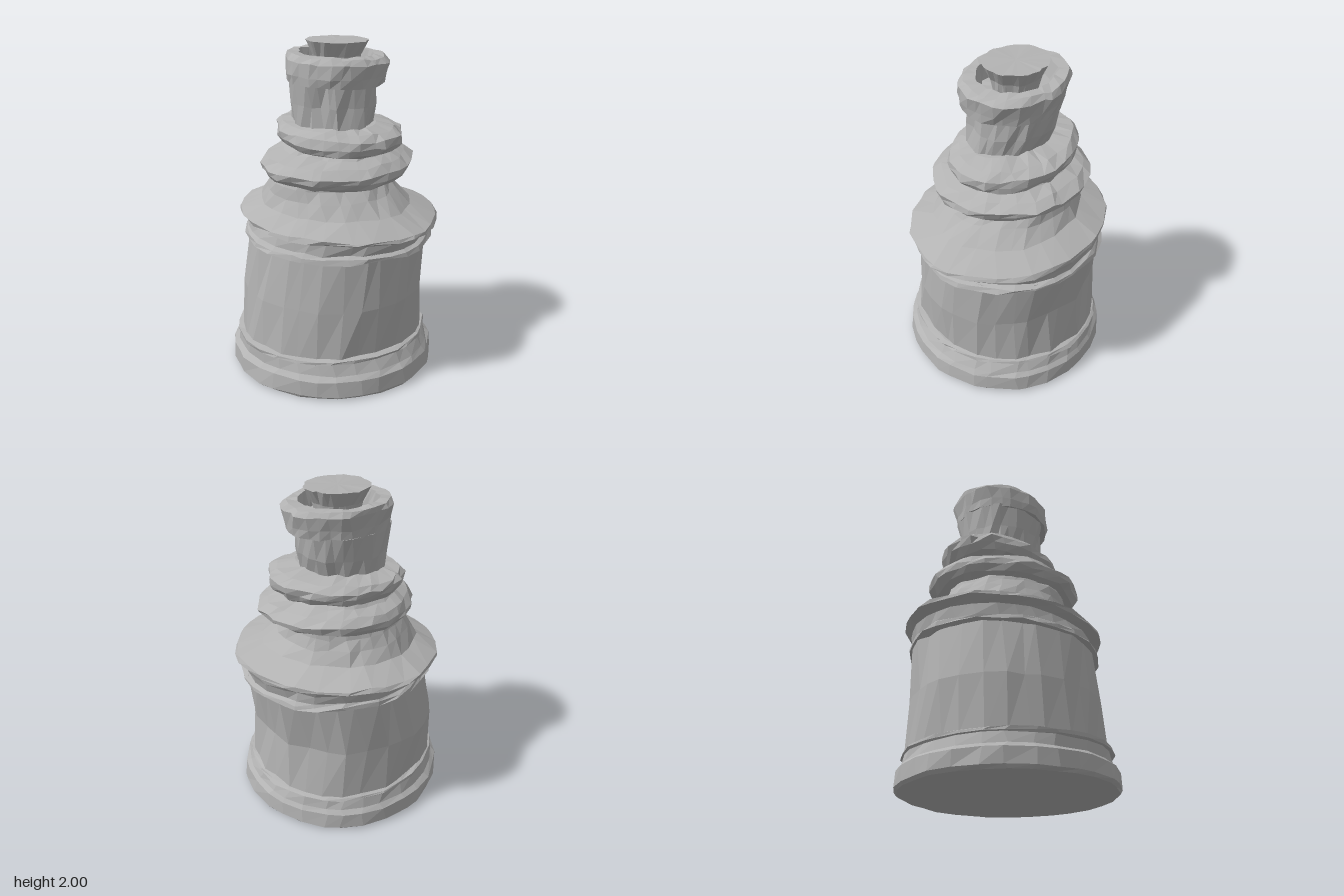
import * as THREE from 'three';

const SIDES = 30;

// Repeatable noise in -1..1
function makeNoise(seed) {
  let s = seed;
  return () => {
    s = (s * 16807) % 2147483647;
    return (s / 2147483647) * 2 - 1;
  };
}

// Skins a stack of rough rings, closed at both ends.
// Each ring: [y, xMin, xMax, zMin, zMax]; tiltX and tiltZ lean rings towards +x and -z.
function roughStack(rings, { tiltX = 0, tiltZ = 0, rough = 0.01, roughY = 0.006, seed = 7 }) {
  const noise = makeNoise(seed * 7919);
  const pos = [], index = [];
  for (let k = 0; k < 20; k++) noise();
  // chips shared by every ring keep the facets running up the part
  const chip = Array.from({ length: SIDES }, () => noise() * rough * 0.6);
  const shift = Array.from({ length: SIDES }, () => noise() * 0.05);
  for (const [y, x0, x1, z0, z1] of rings) {
    const cx = (x0 + x1) / 2, cz = (z0 + z1) / 2;
    for (let j = 0; j < SIDES; j++) {
      const a = (j / SIDES) * Math.PI * 2 + shift[j] + noise() * 0.03;
      const d = chip[j] + noise() * rough;
      const x = Math.cos(a) * ((x1 - x0) / 2 + d);
      const z = Math.sin(a) * ((z1 - z0) / 2 + d);
      pos.push(cx + x, Math.max(0, y + tiltX * x - tiltZ * z + noise() * roughY), cz + z);
    }
  }
  const centre = ([y, x0, x1, z0, z1]) => pos.push((x0 + x1) / 2, y, (z0 + z1) / 2);
  const last = (rings.length - 1) * SIDES, low = rings.length * SIDES;
  centre(rings[0]);
  centre(rings[rings.length - 1]);
  for (let j = 0; j < SIDES; j++) {
    const n = (j + 1) % SIDES;
    for (let i = 0; i < last; i += SIDES) {
      index.push(i + j, i + SIDES + j, i + n, i + n, i + SIDES + j, i + SIDES + n);
    }
    index.push(low, j, n, low + 1, last + n, last + j);
  }
  const g = new THREE.BufferGeometry();
  g.setAttribute('position', new THREE.Float32BufferAttribute(pos, 3));
  g.setIndex(index);
  const flat = g.toNonIndexed();
  flat.computeVertexNormals();
  return flat;
}

export function createModel() {
  const group = new THREE.Group();
  const stone = new THREE.MeshStandardMaterial({ color: 0xb2b2b2, flatShading: true });
  stone.name = 'grey stone';

  const add = (name, rings, options) => {
    const mesh = new THREE.Mesh(roughStack(rings, options), stone);
    mesh.name = name;
    group.add(mesh);
  };

  // Stepped foot
  add('foot', [
    [0, -0.62, 0.62, -0.62, 0.61],
    [0.02, -0.64, 0.64, -0.64, 0.63],
    [0.11, -0.63, 0.63, -0.64, 0.62],
    [0.135, -0.6, 0.61, -0.61, 0.59],
    [0.195, -0.59, 0.59, -0.59, 0.55],
    [0.205, -0.61, 0.61, -0.6, 0.57],
    [0.22, -0.61, 0.6, -0.6, 0.57],
    [0.23, -0.56, 0.56, -0.57, 0.54],
  ], { rough: 0.006, roughY: 0.004, seed: 3 });

  // Waisted drum
  add('body', [
    [0.2, -0.585, 0.585, -0.575, 0.54],
    [0.52, -0.55, 0.55, -0.59, 0.555],
    [0.85, -0.51, 0.6, -0.54, 0.55],
  ], { tiltX: 0.02, tiltZ: 0.01, rough: 0.012, roughY: 0.005, seed: 11 });

  // Band and overhanging sloped shoulder
  add('shoulder', [
    [0.825, -0.49, 0.57, -0.53, 0.54],
    [0.835, -0.54, 0.62, -0.57, 0.58],
    [0.855, -0.53, 0.61, -0.56, 0.58],
    [0.87, -0.5, 0.59, -0.55, 0.55],
    [0.93, -0.49, 0.6, -0.56, 0.57],
    [0.955, -0.54, 0.62, -0.63, 0.64],
    [0.975, -0.54, 0.62, -0.62, 0.63],
    [1.04, -0.42, 0.46, -0.48, 0.47],
    [1.12, -0.38, 0.41, -0.43, 0.37],
    [1.18, -0.36, 0.39, -0.39, 0.31],
    [1.25, -0.34, 0.38, -0.36, 0.3],
  ], { tiltX: 0.028, tiltZ: 0.045, rough: 0.009, roughY: 0.008, seed: 23 });

  // Two stacked cushion rings
  add('lowerRing', [
    [1.19, -0.32, 0.37, -0.35, 0.34],
    [1.22, -0.4, 0.46, -0.42, 0.42],
    [1.255, -0.43, 0.51, -0.45, 0.44],
    [1.29, -0.43, 0.52, -0.45, 0.44],
    [1.33, -0.38, 0.46, -0.42, 0.39],
    [1.36, -0.27, 0.38, -0.36, 0.32],
    [1.4, -0.22, 0.34, -0.32, 0.28],
  ], { tiltX: 0.065, tiltZ: 0.045, rough: 0.011, roughY: 0.008, seed: 31 });

  add('upperRing', [
    [1.36, -0.23, 0.34, -0.33, 0.31],
    [1.39, -0.28, 0.4, -0.38, 0.38],
    [1.43, -0.3, 0.42, -0.41, 0.4],
    [1.47, -0.29, 0.42, -0.42, 0.39],
    [1.505, -0.24, 0.37, -0.4, 0.34],
    [1.52, -0.16, 0.24, -0.29, 0.25],
  ], { tiltX: 0.04, tiltZ: 0.06, rough: 0.011, roughY: 0.008, seed: 43 });

  // Flaring neck
  add('neck', [
    [1.48, -0.2, 0.23, -0.28, 0.24],
    [1.62, -0.21, 0.28, -0.295, 0.225],
    [1.77, -0.23, 0.32, -0.305, 0.215],
  ], { tiltX: 0, tiltZ: 0.03, rough: 0.012, roughY: 0.004, seed: 53 });

  // Collar with a hollow mouth
  add('collar', [
    [1.75, -0.19, 0.28, -0.27, 0.19],
    [1.75, -0.25, 0.33, -0.31, 0.27],
    [1.8, -0.255, 0.34, -0.315, 0.28],
    [1.88, -0.25, 0.36, -0.33, 0.29],
    [1.91, -0.22, 0.34, -0.32, 0.26],
    [1.915, -0.16, 0.28, -0.26, 0.2],
    [1.82, -0.14, 0.25, -0.23, 0.18],
  ], { tiltX: 0.025, tiltZ: 0.07, rough: 0.008, roughY: 0.006, seed: 61 });

  // Flared stopper
  add('stopper', [
    [1.8, -0.06, 0.18, -0.15, 0.09],
    [1.9, -0.08, 0.2, -0.17, 0.11],
    [1.985, -0.125, 0.245, -0.215, 0.16],
  ], { tiltX: 0.03, tiltZ: 0.04, rough: 0.006, roughY: 0.002, seed: 71 });

  return group;
}
